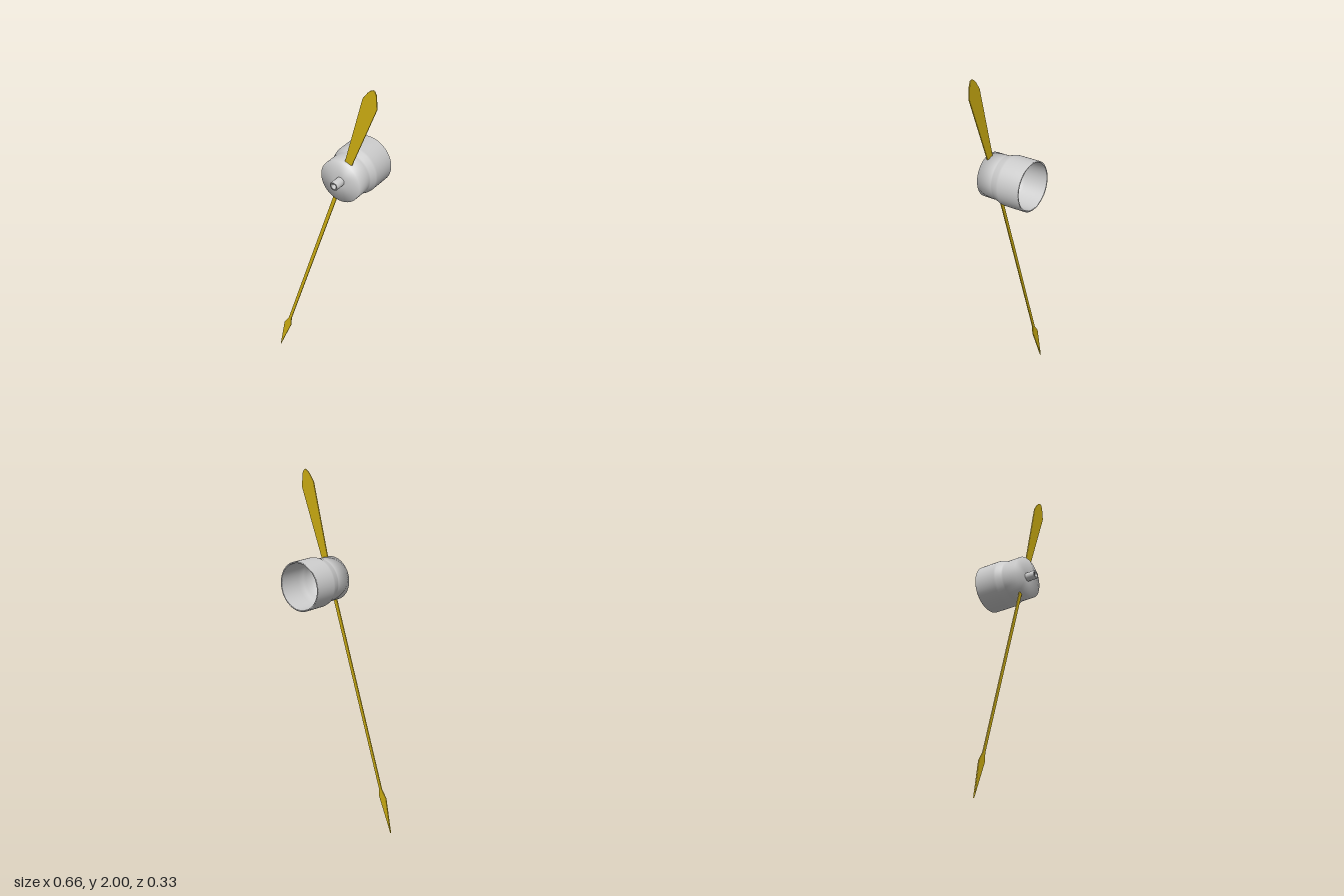
import * as THREE from 'three';

const CENTER_X = 0.126, CENTER_Y = 1.412, HAND_Z = 0.085;

// Thin plate with softly bevelled edges, drawn in the front plane
function plate(name, points, material) {
  const shape = new THREE.Shape(points.map(([x, y]) => new THREE.Vector2(x, y)));
  const geometry = new THREE.ExtrudeGeometry(shape, {
    depth: 0.002, bevelEnabled: true, bevelThickness: 0.003,
    bevelSize: 0.003, bevelOffset: -0.003, bevelSegments: 2,
  });
  geometry.translate(0, 0, HAND_Z - 0.001);
  const mesh = new THREE.Mesh(geometry, material);
  mesh.name = name;
  return mesh;
}

// Solid of revolution around the z axis from [radius, z] pairs
function turned(name, profile, material) {
  const geometry = new THREE.LatheGeometry(
    profile.map(([r, z]) => new THREE.Vector2(r, z)), 64);
  geometry.rotateX(Math.PI / 2);
  const mesh = new THREE.Mesh(geometry, material);
  mesh.name = name;
  mesh.position.set(CENTER_X, CENTER_Y, 0);
  return mesh;
}

export function createModel() {
  const group = new THREE.Group();
  group.name = 'pointerHand';
  const grey = new THREE.MeshStandardMaterial({ color: 0xcccccc, side: THREE.DoubleSide });
  const gold = new THREE.MeshStandardMaterial({ color: 0xcdae12, side: THREE.DoubleSide });

  // Hollow cup, open at the back, with a narrower front collar
  group.add(turned('hubCup', [
    [0, 0.075], [0.07, 0.073], [0.1, 0.062], [0.112, 0.045], [0.115, 0.015],
    [0.12, -0.005], [0.128, -0.035], [0.129, -0.162], [0.131, -0.165],
    [0.135, -0.165], [0.138, -0.162], [0.138, -0.035], [0.136, -0.022],
    [0.125, 0.01], [0.122, 0.02], [0.122, 0.107], [0.025, 0.107],
  ], grey));

  // Small tubular spindle on the front
  group.add(turned('spindle', [
    [0.025, 0.1], [0.025, 0.163], [0.013, 0.163], [0.013, 0.107], [0, 0.107],
  ], grey));

  // Broad tail blade above the hub
  group.add(plate('tailBlade', [
    [0.138, 1.522], [0.185, 1.522], [0.329, 1.9], [0.323, 1.975], [0.314, 1.994],
    [0.302, 2.0], [0.287, 1.992], [0.272, 1.978], [0.242, 1.935],
  ], gold));

  // Slender shaft ending in an arrow point below the hub
  group.add(plate('pointerShaft', [
    [0.1, 1.31], [0.076, 1.31], [-0.264, 0.252], [-0.296, 0.205],
    [-0.333, 0.0], [-0.246, 0.205], [-0.243, 0.255],
  ], gold));

  return group;
}
